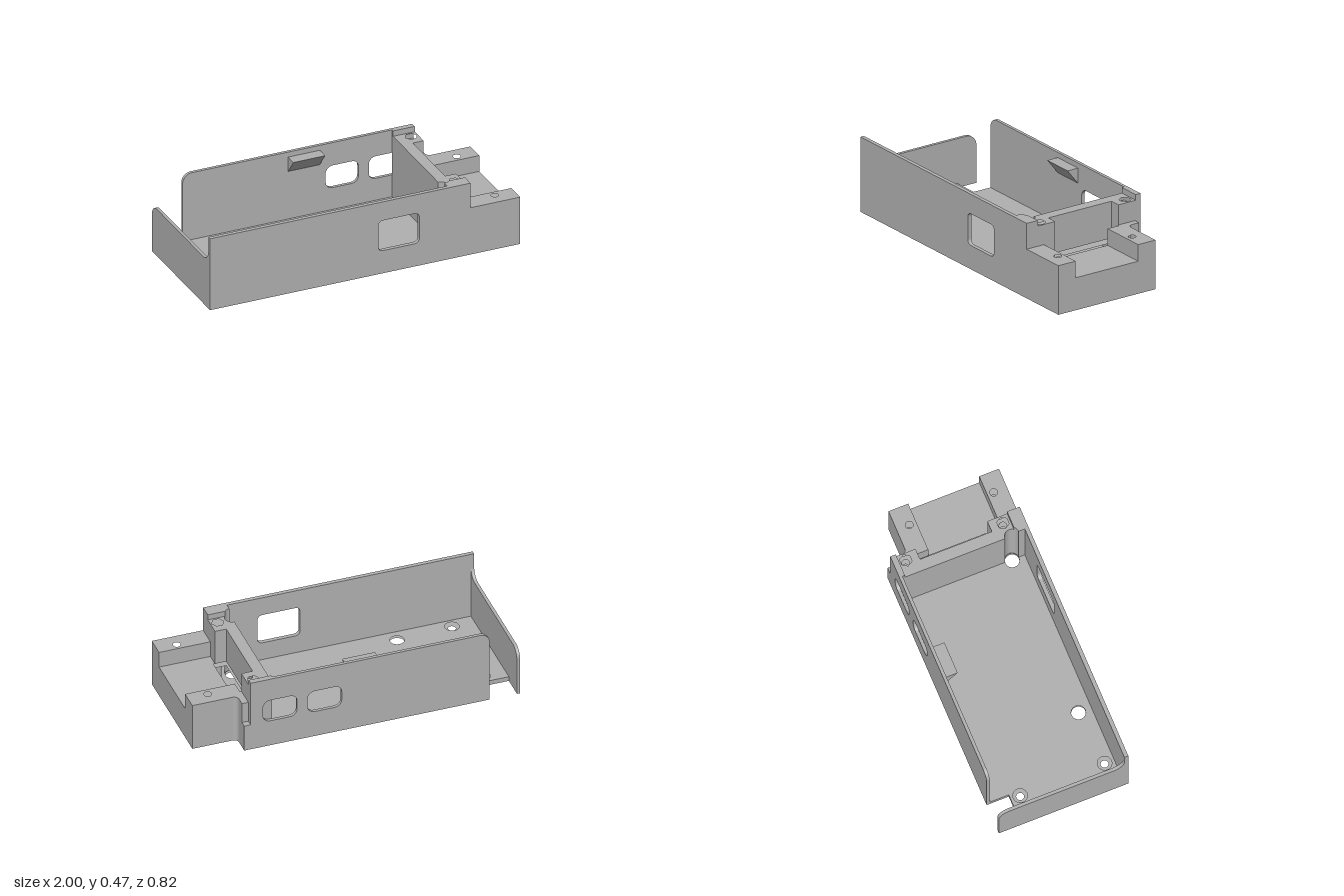
import * as THREE from 'three';

// points along an arc, angles in degrees
function arc(cx, cy, r, a0, a1, n = 12) {
  return Array.from({ length: n + 1 }, (_, i) => {
    const a = THREE.MathUtils.degToRad(a0 + (a1 - a0) * i / n);
    return [cx + r * Math.cos(a), cy + r * Math.sin(a)];
  });
}
const circle = (x, z, r, n = 28) => arc(x, z, r, 0, 360, n).slice(0, n);
const hexagon = (x, z, r) => circle(x, z, r, 6);

function roundRect(x0, x1, y0, y1, r) {
  return [...arc(x1 - r, y1 - r, r, 0, 90, 8), ...arc(x0 + r, y1 - r, r, 90, 180, 8),
    ...arc(x0 + r, y0 + r, r, 180, 270, 8), ...arc(x1 - r, y0 + r, r, 270, 360, 8)];
}

function extrude(outline, depth, holes = []) {
  const vectors = (list) => list.map(([x, y]) => new THREE.Vector2(x, y));
  const shape = new THREE.Shape(vectors(outline));
  shape.holes = holes.map((h) => new THREE.Path(vectors(h)));
  return new THREE.ExtrudeGeometry(shape, { depth, bevelEnabled: false });
}

export function createModel() {
  const group = new THREE.Group();
  const grey = new THREE.MeshStandardMaterial({ color: 0xb0b0b0 });
  grey.name = 'grey plastic';

  function add(name, geometry) {
    const mesh = new THREE.Mesh(geometry, grey);
    mesh.name = name;
    group.add(mesh);
  }
  // horizontal layer: plan given as [x, z], from height y0 to y1
  function slab(name, plan, y0, y1, holes = []) {
    const flip = (list) => list.map(([x, z]) => [x, -z]);
    add(name, extrude(flip(plan), y1 - y0, holes.map(flip)).rotateX(-Math.PI / 2).translate(0, y0, 0));
  }
  // upright plate facing z: outline given as [x, y]
  function plate(name, outline, z0, z1, holes) {
    add(name, extrude(outline, z1 - z0, holes).translate(0, 0, z0));
  }
  // profile given as [z, y], running from x0 to x1
  function bar(name, profile, x0, x1) {
    add(name, extrude(profile, x1 - x0).rotateY(-Math.PI / 2).translate(x1, 0, 0));
  }

  const F = 0.03, SHELF = 0.31, TOWER = 0.4375, TOP = 0.473;
  const fillet = arc(0.75, -0.32, 0.03, 180, 90, 8);   // inner corner of the rear notch
  const slot = [[0.61, -0.25], [0.69, -0.25], [0.69, 0.205], [0.61, 0.205]];
  const pair = (x, z0, z1, r, make = circle) => [make(x, z0, r), make(x, z1, r)];
  const shelfHoles = pair(0.875, -0.21, 0.325, 0.023);
  const towerHoles = pair(0.635, -0.33, 0.285, 0.023);
  const wideHoles = pair(0.535, 0.303, 0.303, 0.043).slice(0, 1).concat([circle(-0.49, 0.303, 0.043)]);

  // floor with screw holes, recessed on its upper half
  const footprint = [[-1, -0.27], [-0.81, -0.27], [-0.81, -0.41], [0.72, -0.41],
    ...fillet, [1, -0.29], [1, 0.41], [-1, 0.41]];
  const common = [slot, ...shelfHoles, ...towerHoles, ...wideHoles];
  slab('floorLower', footprint, 0, 0.015, [...common, ...pair(-0.84, -0.21, 0.325, 0.023)]);
  slab('floorUpper', footprint, 0.015, F, [...common, ...pair(-0.84, -0.21, 0.325, 0.043)]);

  // end block, with a half-round groove in its inner face
  const groove = arc(0.54, 0.303, 0.043, 90, -90, 16);
  const inner = [[0.54, 0.41], ...groove, [0.54, -0.39]];
  const notch = [[0.68, -0.39], [0.68, -0.37], [0.72, -0.37]];
  const blockEnd = [...fillet, [1, -0.29], [1, 0.41]];
  slab('endBlockLower', [...inner, [0.72, -0.39], ...blockEnd], F, 0.175,
    [slot, ...shelfHoles, ...towerHoles]);
  slab('endBlockMiddle', [...inner, ...notch, ...blockEnd], 0.175, 0.205,
    [slot, ...shelfHoles, ...towerHoles]);
  slab('endShelves', [...inner, ...notch, ...fillet, [1, -0.29], [1, -0.165], [0.69, -0.165],
    [0.69, -0.25], [0.61, -0.25], [0.61, 0.205], [0.68, 0.205], [0.68, 0.285], [1, 0.285], [1, 0.41]],
  0.205, SHELF, [...shelfHoles, ...towerHoles]);

  // cross wall with a screw tower at each end, hexagonal nut pockets on top
  const tower = [...inner, [0.68, -0.39], [0.68, -0.25], [0.61, -0.25],
    [0.61, 0.205], [0.68, 0.205], [0.68, 0.41]];
  slab('crossWall', tower, SHELF, 0.39, towerHoles);
  slab('crossWallTop', tower, 0.39, TOWER, pair(0.635, -0.33, 0.285, 0.037, hexagon));
  const cut = Math.acos((0.33 - 0.303) / 0.043) * 180 / Math.PI;
  slab('frontCornerRise', [[0.54, 0.41], ...arc(0.54, 0.303, 0.043, 90, 90 - cut, 8),
    [0.68, 0.33], [0.68, 0.41]], TOWER, TOP);
  slab('backCornerRise', [[0.54, -0.39], [0.68, -0.39], [0.68, -0.375], [0.54, -0.375]], TOWER, TOP);

  // long walls with rounded windows
  plate('frontWall', [[-1, F], [0.54, F], [0.54, TOP], [-1, TOP]], 0.385, 0.41,
    [roundRect(0.085, 0.35, 0.15, 0.35, 0.03)]);
  plate('backWall', [[-0.81, F], [0.72, F], [0.72, 0.175], [0.68, 0.175], [0.68, TOP],
    ...arc(-0.75, TOP - 0.06, 0.06, 90, 180)], -0.41, -0.39,
  [roundRect(0.112, 0.325, 0.175, 0.322, 0.045), roundRect(0.39, 0.603, 0.175, 0.322, 0.045)]);

  // low end wall, blended up into the front wall
  bar('endWall', [[0.385, F], ...arc(0.315, 0.38, 0.07, 0, -90), ...arc(-0.34, 0.24, 0.07, 90, 180),
    [-0.41, 0], [-0.27, 0], [-0.27, F]], -1, -0.98);

  // wedge clip on the inside of the back wall
  bar('clip', [[-0.39, 0.345], [-0.315, 0.44], [-0.39, 0.44]], -0.13, 0.075);

  return group;
}
